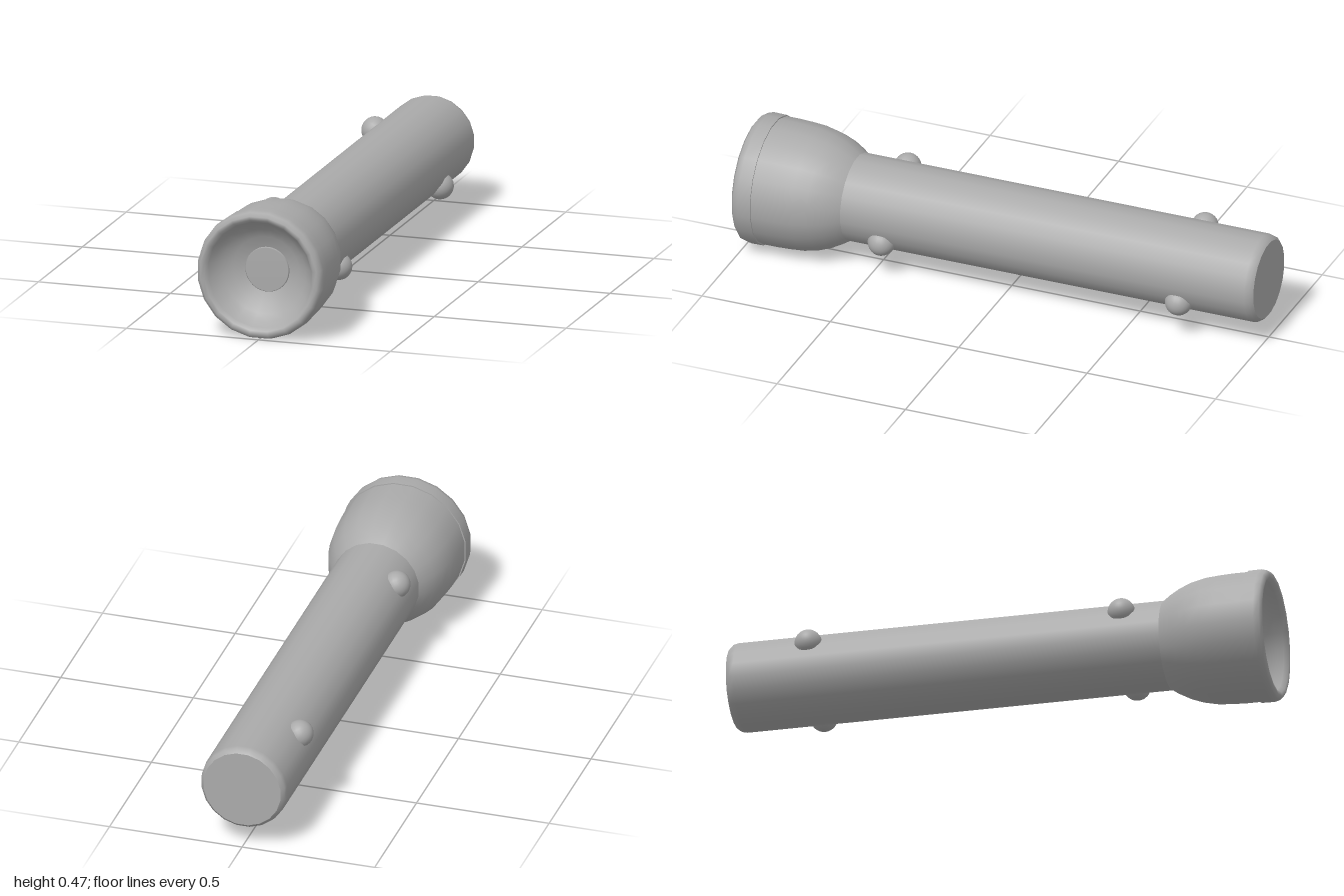
import * as THREE from 'three';

const SIDES = 20;
const AXIS_Y = 0.2375;

export function createModel() {
  const group = new THREE.Group();
  const grey = new THREE.MeshStandardMaterial({ color: 0xaaaaaa });
  grey.name = 'grey';

  // Revolved part along the z axis; points are [radius, z], with a flat side on top
  function revolve(name, points, sides = SIDES) {
    const geo = new THREE.LatheGeometry(
      points.map(([r, z]) => new THREE.Vector2(r, z)), sides, Math.PI / sides);
    geo.rotateX(Math.PI / 2);
    const mesh = new THREE.Mesh(geo, grey);
    mesh.name = name;
    mesh.position.y = AXIS_Y;
    group.add(mesh);
  }

  // Handle tube with a chamfered tail, closed by a flat cap
  revolve('tailCap', [[0, -1], [0.146, -1]]);
  revolve('handle', [[0.146, -1], [0.158, -0.988], [0.162, -0.97], [0.162, 0.62]]);

  // Flared head
  revolve('head', [
    [0.16, 0.6], [0.178, 0.625], [0.2, 0.665], [0.217, 0.71],
    [0.229, 0.765], [0.233, 0.82], [0.235, 0.87], [0.235, 0.925],
  ]);

  // Rounded bezel around the opening
  revolve('bezelBack', [[0.232, 0.922], [0.239, 0.922]]);
  revolve('bezel', [
    [0.239, 0.922], [0.24, 0.97], [0.235, 0.99], [0.222, 1], [0.208, 0.997], [0.198, 0.983],
  ]);

  // Concave reflector with a round lamp in the middle
  revolve('reflector', [
    [0.198, 0.983], [0.182, 0.957], [0.158, 0.932], [0.125, 0.91], [0.082, 0.895],
  ]);
  revolve('lamp', [[0.083, 0.89], [0.083, 0.9], [0.08, 0.902], [0, 0.902]], 40);

  // Two pairs of domed studs on opposite sides of the handle
  const dome = new THREE.SphereGeometry(0.05, 20, 8, 0, Math.PI * 2, 0, Math.PI / 2);
  const tilt = -37 * Math.PI / 180;
  for (const z of [0.457, -0.7]) {
    for (const angle of [tilt, tilt + Math.PI]) {
      const stud = new THREE.Mesh(dome, grey);
      stud.name = 'stud';
      stud.position.set(Math.cos(angle) * 0.154, AXIS_Y + Math.sin(angle) * 0.154, z);
      stud.rotation.z = angle - Math.PI / 2;
      group.add(stud);
    }
  }
  return group;
}
